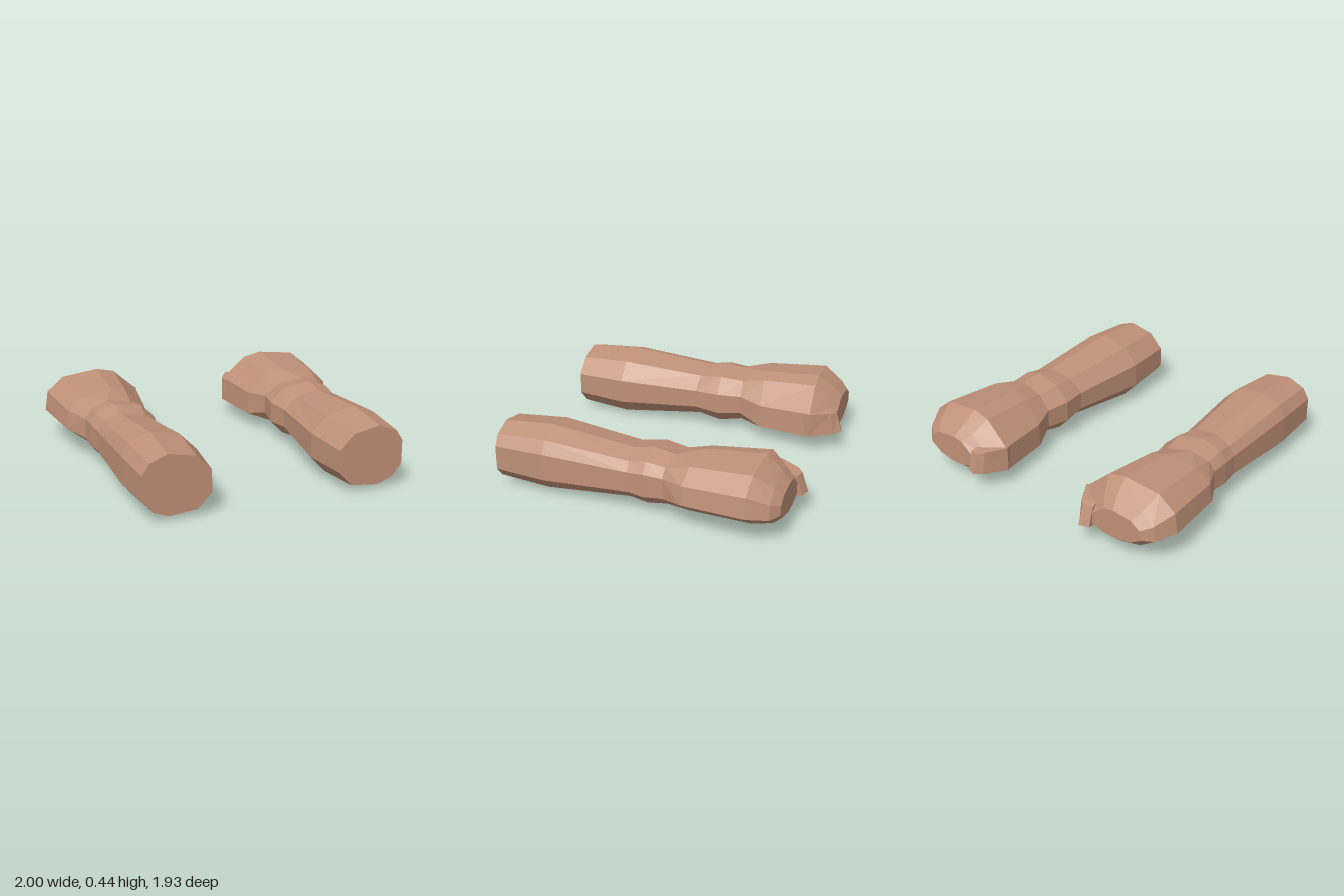
import * as THREE from 'three';

const skin = new THREE.MeshStandardMaterial({ color: 0xbf9078, flatShading: true });

// Closed loft through rings of [x, y, z]; side = -1 mirrors it across x
function loft(name, rings, side) {
  const pos = [];
  const tri = (a, b, c) => {
    for (const p of side > 0 ? [a, b, c] : [a, c, b]) pos.push(side * p[0], p[1], p[2]);
  };
  const n = rings[0].length;
  for (let i = 0; i < rings.length - 1; i++) {
    for (let j = 0; j < n; j++) {
      const k = (j + 1) % n, r = rings[i], s = rings[i + 1];
      tri(r[j], s[j], r[k]);
      tri(r[k], s[j], s[k]);
    }
  }
  const first = rings[0], last = rings[rings.length - 1];
  for (let j = 1; j < n - 1; j++) {
    tri(first[0], first[j], first[j + 1]);
    tri(last[0], last[j + 1], last[j]);
  }
  const geo = new THREE.BufferGeometry();
  geo.setAttribute('position', new THREE.Float32BufferAttribute(pos, 3));
  geo.computeVertexNormals();
  const mesh = new THREE.Mesh(geo, skin);
  mesh.name = name;
  return mesh;
}

// Ten-sided unit sections: from the top, round the inner side, bottom and outer side
const armSection = [[0.62, 1], [0.22, 0.91], [0, 0.66], [0, 0.29], [0.2, 0.05],
  [0.62, 0], [0.85, 0.1], [1, 0.29], [1, 0.7], [0.9, 0.88]];
const fistSection = [[0.43, 1], [0.25, 0.93], [0.01, 0.57], [0, 0.16], [0.25, 0.01],
  [0.52, 0], [0.79, 0.12], [1, 0.375], [0.97, 0.7], [0.8, 0.93]];

// Fits a section to its bounds; inner and outer sides may lie at different z
const ring = (section, [x0, x1, y0, y1, zInner, zOuter]) => section.map(([u, v]) =>
  [x0 + u * (x1 - x0), y0 + v * (y1 - y0), zInner + u * (zOuter - zInner)]);

// x inner, x outer, y bottom, y top, z inner, z outer
const armRings = [
  [0.415, 0.845, 0.03, 0.415, 0.965, 0.965],
  [0.385, 0.865, 0.005, 0.44, 0.63, 0.63],
  [0.445, 0.855, 0.06, 0.385, 0.09, 0.06],
  [0.42, 0.865, 0.035, 0.41, -0.08, -0.045],
  [0.45, 0.865, 0.06, 0.39, -0.24, -0.17],
];
const fistRings = [
  [0.385, 0.955, 0.05, 0.42, -0.4, -0.32],
  [0.335, 1.0, 0.05, 0.45, -0.76, -0.73],
  [0.42, 0.935, 0.075, 0.365, -0.85, -0.86],
  [0.5, 0.87, 0.12, 0.31, -0.91, -0.91],
];

// Thumb sections: outer x, z, palm-side x, z, y bottom, y top, backward lean of the bottom
const thumbRings = [
  [0.345, -0.72, 0.42, -0.71, 0.13, 0.27, 0],
  [0.33, -0.76, 0.42, -0.75, 0.115, 0.28, 0],
  [0.405, -0.89, 0.5, -0.87, 0.13, 0.275, 0.025],
  [0.44, -0.925, 0.505, -0.905, 0.14, 0.265, 0.04],
].map(([xo, zo, xp, zp, y0, y1, lean]) => [
  [xp, y1, zp], [xo, y1, zo], [xo, y0, zo - lean], [xp, y0, zp - lean],
]);

export function createModel() {
  const model = new THREE.Group();
  model.name = 'forearms';
  for (const side of [1, -1]) {
    const label = side > 0 ? 'left' : 'right';
    const arm = new THREE.Group();
    arm.name = label + 'Arm';
    // Forearm, wrist and fist in one skin
    arm.add(loft(label + 'ForearmAndFist', [
      ...armRings.map(r => ring(armSection, r)),
      ...fistRings.map(r => ring(fistSection, r)),
    ], side));
    // Thumb folded along the inner side of the fist
    arm.add(loft(label + 'Thumb', thumbRings, side));
    model.add(arm);
  }
  return model;
}
